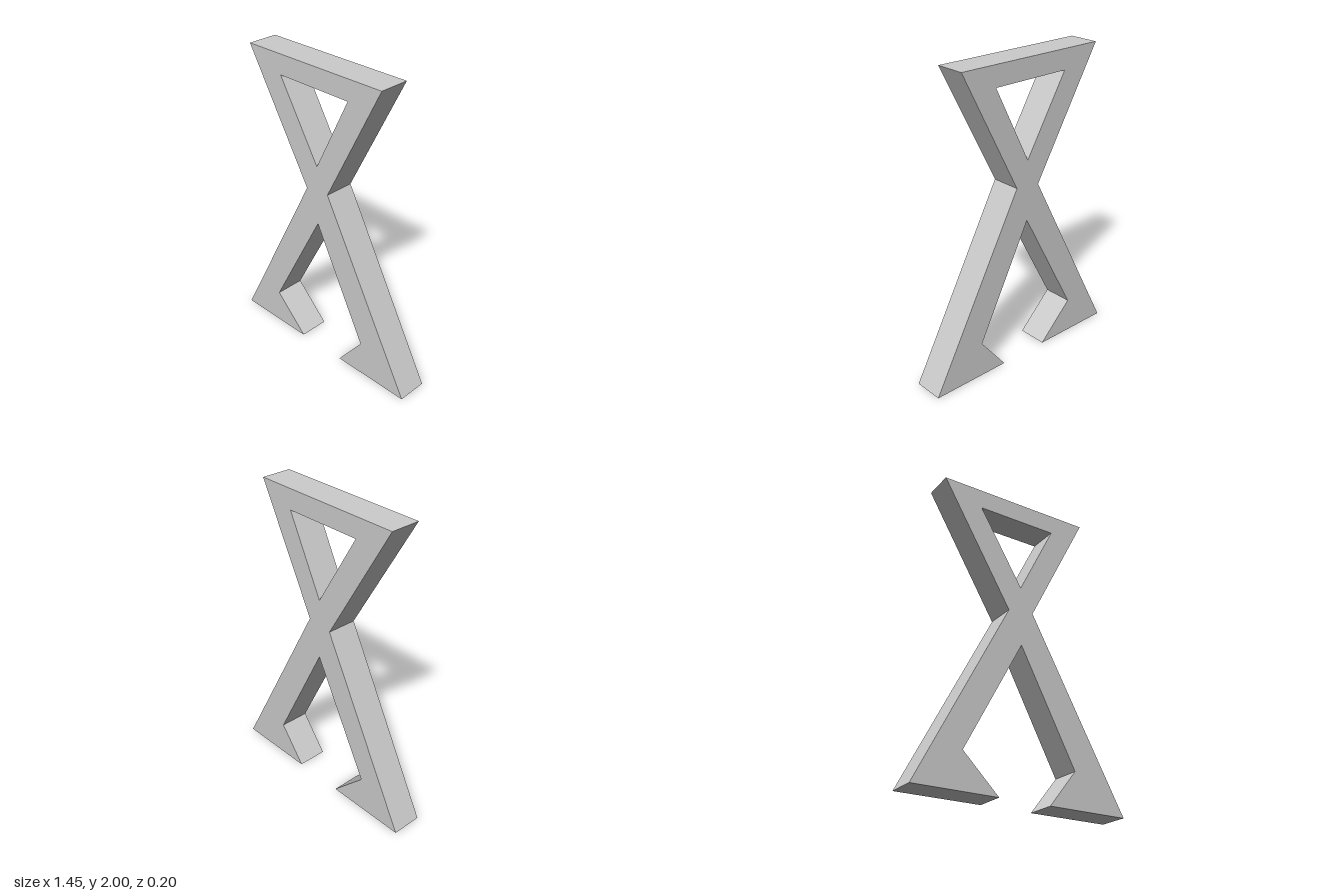
import * as THREE from 'three';

const toPoints = (pairs) => pairs.map(([x, y]) => new THREE.Vector2(x, y));

export function createModel() {
  const group = new THREE.Group();
  group.name = 'crossedFrame';
  const depth = 0.2;

  // Outline of the crossed legs, with slanted feet and a flat top bar
  const outline = new THREE.Shape(toPoints([
    [-0.725, 0], [-0.17, 0], [-0.41, 0.235],                // right foot
    [-0.018, 0.972],                                        // crotch
    [0.363, 0.235], [0.177, 0], [0.722, 0],                 // left foot
    [0.066, 1.21], [0.47, 2], [-0.586, 1.995], [-0.11, 1.19], // waist and top
  ]));

  // Triangular opening under the top bar
  outline.holes.push(new THREE.Path(toPoints([
    [-0.32, 1.866], [0.225, 1.866], [-0.022, 1.37],
  ])));

  const geometry = new THREE.ExtrudeGeometry(outline, { depth, bevelEnabled: false });
  geometry.translate(0, 0, -depth / 2);

  const frame = new THREE.Mesh(
    geometry,
    new THREE.MeshStandardMaterial({ color: 0xcccccc, flatShading: true }),
  );
  frame.name = 'frame';
  group.add(frame);
  return group;
}
